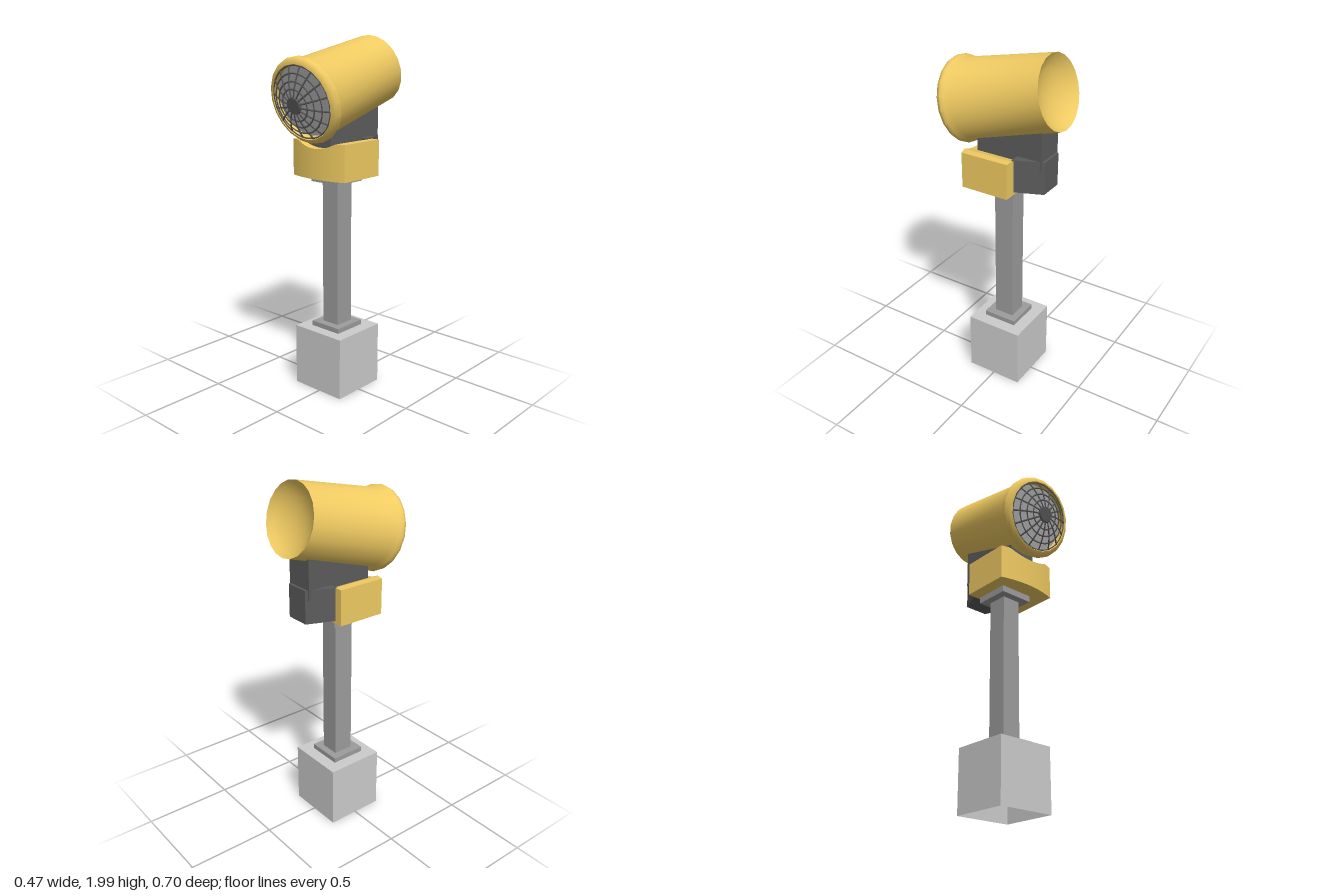
import * as THREE from 'three';
import { toCreasedNormals } from 'three/addons/utils/BufferGeometryUtils.js';

const mat = (color) => new THREE.MeshStandardMaterial({ color, side: THREE.DoubleSide });
const paleGrey = mat(0xcccccc);
const midGrey = mat(0x9c9c9c);
const darkGrey = mat(0x5c5c5c);
const backingGrey = mat(0xb4b4b4);
const yellow = mat(0xf0cb62);

function add(parent, name, geometry, material) {
  const mesh = new THREE.Mesh(geometry, material);
  mesh.name = name;
  parent.add(mesh);
  return mesh;
}

// Box given by its limits on each axis
function box(parent, name, material, [x0, x1], [y0, y1], [z0, z1]) {
  const g = new THREE.BoxGeometry(x1 - x0, y1 - y0, z1 - z0);
  g.translate((x0 + x1) / 2, (y0 + y1) / 2, (z0 + z1) / 2);
  return add(parent, name, g, material);
}

// Solid of revolution around the barrel axis (local z); profile in [radius, z]
function revolve(profile, segments) {
  const g = new THREE.LatheGeometry(profile.map(([r, z]) => new THREE.Vector2(r, z)), segments);
  g.rotateX(Math.PI / 2);
  return toCreasedNormals(g, 0.6);
}

// Housing with a bulging front and a shallow cradle along its top
function housingGeometry() {
  const g = new THREE.BoxGeometry(0.375, 0.2, 0.28, 30, 1, 1);
  const p = g.attributes.position;
  for (let i = 0; i < p.count; i++) {
    const x = p.getX(i);
    if (p.getZ(i) > 0) p.setZ(i, 0.14 + 0.03 * (1 - (x / 0.1875) ** 2));
    if (p.getY(i) > 0) p.setY(i, 0.1 - 0.035 * Math.max(0, 1 - (x / 0.135) ** 2));
  }
  g.translate(0.006, 1.345, 0.025);
  return toCreasedNormals(g, 0.5);
}

export function createModel() {
  const model = new THREE.Group();
  model.name = 'standingCannonLamp';

  // Base block, open underneath (the underside is the fourth face)
  const base = box(model, 'baseBlock', paleGrey, [-0.18, 0.16], [0, 0.355], [-0.17, 0.165]);
  const index = Array.from(base.geometry.index.array);
  index.splice(18, 6);
  base.geometry.setIndex(index);

  // Column with a plate at each end
  box(model, 'lowerPlate', midGrey, [-0.11, 0.09], [0.355, 0.383], [-0.1, 0.1]);
  box(model, 'column', midGrey, [-0.066, 0.045], [0.383, 1.208], [-0.06, 0.055]);
  box(model, 'upperPlate', midGrey, [-0.11, 0.09], [1.208, 1.245], [-0.1, 0.1]);

  // Housing
  add(model, 'housing', housingGeometry(), yellow);

  // Rear box, narrowing toward the back in plan
  const plan = new THREE.Shape([
    [0.13, 0.105], [-0.14, 0.105], [-0.075, 0.265], [0.065, 0.265],
  ].map(([x, y]) => new THREE.Vector2(x, y)));
  const rear = new THREE.ExtrudeGeometry(plan, { depth: 0.185, bevelEnabled: false });
  rear.rotateX(-Math.PI / 2).translate(0, 1.26, 0);
  add(model, 'rearBox', rear, darkGrey);

  // Bracket between housing and barrel, drawn from the side
  const side = new THREE.Shape([
    [0.145, 1.39], [0.145, 1.55], [-0.25, 1.65], [-0.25, 1.39],
  ].map(([z, y]) => new THREE.Vector2(-z, y)));
  const bracket = new THREE.ExtrudeGeometry(side, { depth: 0.165, bevelEnabled: false });
  bracket.rotateY(Math.PI / 2).translate(-0.09, 0, 0);
  add(model, 'bracket', bracket, darkGrey);

  // Tilted head: local +z points out of the grille
  const head = new THREE.Group();
  head.name = 'head';
  head.position.set(0, 1.665, 0.255);
  head.rotation.x = 0.25;
  model.add(head);

  // Barrel with a dished rear and a rolled front lip
  add(head, 'barrel', revolve([
    [0, -0.5], [0.06, -0.504], [0.12, -0.52], [0.165, -0.543], [0.195, -0.57],
    [0.215, -0.047], [0.23, -0.022], [0.235, 0], [0.23, 0.016],
    [0.218, 0.029], [0.203, 0.034], [0.195, 0.024], [0.192, -0.02],
  ], 20), yellow);

  // Backing disc behind the grille
  const backing = add(head, 'grilleBacking', new THREE.CircleGeometry(0.195, 20), backingGrey);
  backing.position.z = -0.005;

  // Domed grille: rings, spokes and a central hub
  const grille = new THREE.Group();
  grille.name = 'grille';
  head.add(grille);
  const dome = (r) => 0.088 - 0.062 * (r / 0.2) ** 2;
  for (const r of [0.085, 0.122, 0.16, 0.196]) {
    const ring = add(grille, 'grilleRing', new THREE.TorusGeometry(r, 0.0045, 4, 32), darkGrey);
    ring.position.z = dome(r);
  }
  const spokeCurve = new THREE.CatmullRomCurve3(
    [0.03, 0.075, 0.12, 0.16, 0.199].map((r) => new THREE.Vector3(r, 0, dome(r))));
  const spokeGeometry = new THREE.TubeGeometry(spokeCurve, 8, 0.005, 4);
  const spokes = 16;
  for (let i = 0; i < spokes; i++) {
    const spoke = add(grille, 'grilleSpoke', spokeGeometry, darkGrey);
    spoke.rotation.z = ((i + 0.5) / spokes) * Math.PI * 2;
  }
  const hub = new THREE.CylinderGeometry(0.044, 0.048, 0.012, 16).rotateX(Math.PI / 2);
  add(grille, 'grilleHub', hub, darkGrey).position.z = 0.085;

  return model;
}
